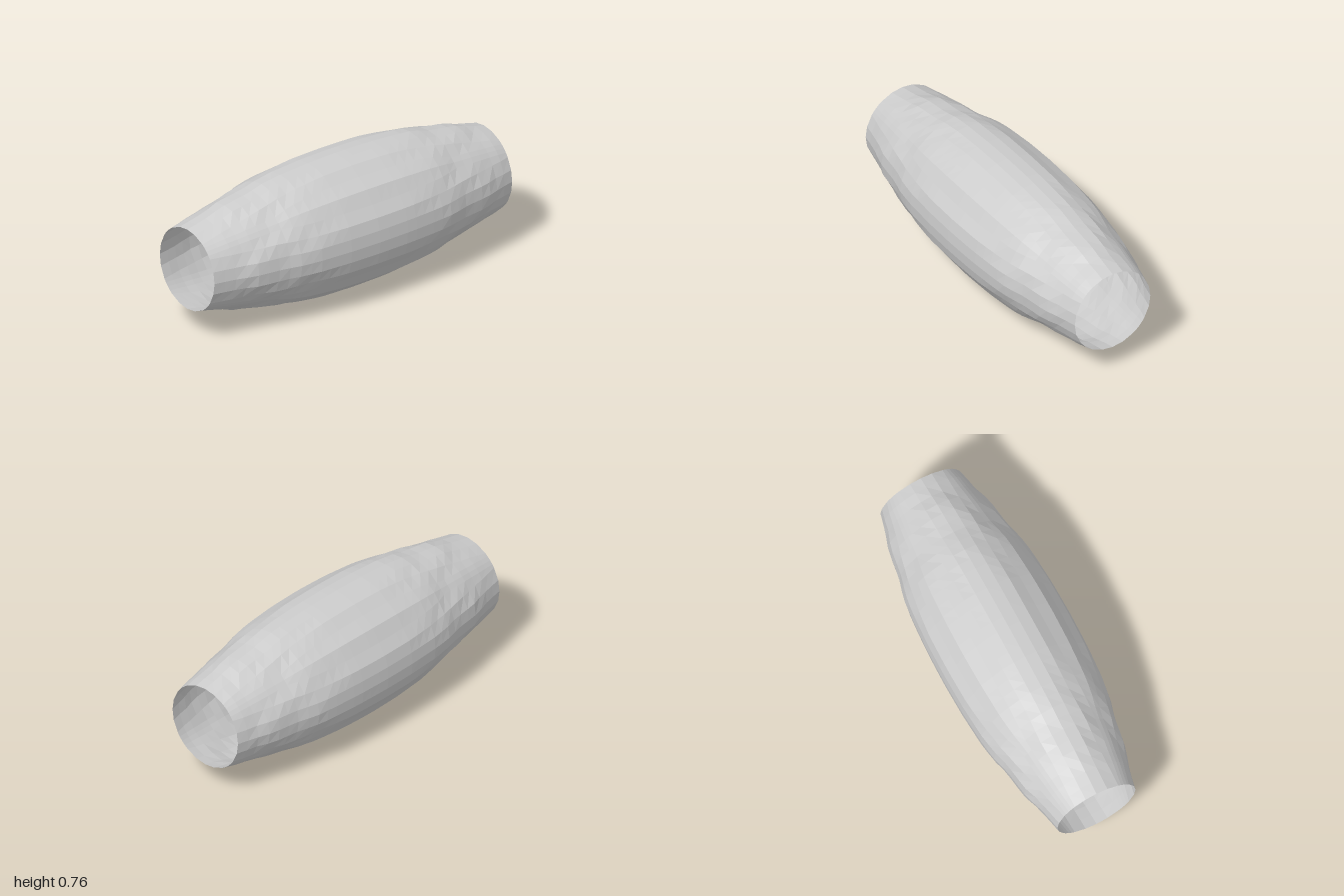
import * as THREE from 'three';

// radius of the plain tube against distance from its widest point
const PROFILE = [[0, 0.369], [0.2, 0.365], [0.4, 0.352], [0.5, 0.338], [0.62, 0.304],
  [0.75, 0.287], [0.85, 0.266], [0.91, 0.257], [0.98, 0.24], [1.02, 0.233]];
const CENTRE_X = 0.02, AXIS_Y = 0.381, STEP = 0.065, STATIONS = 32;

const clamp01 = (v) => Math.min(1, Math.max(0, v));

function tubeRadius(d) {
  let i = 1;
  while (i < PROFILE.length - 1 && PROFILE[i][0] < d) i++;
  const [x0, r0] = PROFILE[i - 1], [x1, r1] = PROFILE[i];
  return r0 + (r1 - r0) * (d - x0) / (x1 - x0);
}

// one ring: four mirrored quarters, each with a raised oval pad on its axis
function ring(x) {
  const d = Math.abs(x - CENTRE_X), base = tubeRadius(d);
  const point = (k) => {
    if (k === 4) return [Math.PI / 4, base + 0.008 * clamp01(1 - (d / 0.6) ** 2)];
    const angle = Math.min(Math.asin(Math.min(1, STEP * k / base)), 0.68);
    const h = base * Math.sin(angle);
    const inner = 1 - (d / 0.62) ** 2 - (h / 0.195) ** 2;
    const outer = 1 - (d / 0.9) ** 2 - (h / 0.24) ** 2;
    const fade = clamp01((d - 0.45) / 0.17);
    return [angle, base + 0.013 * clamp01(2.5 * inner) + 0.016 * clamp01(5 * outer) * fade];
  };
  const points = [];
  for (let q = 0; q < 4; q++) {
    for (let k = -4; k < 4; k++) {
      const [a, r] = point(Math.abs(k));
      const t = q * Math.PI / 2 + Math.sign(k) * a;
      points.push([x, AXIS_Y + r * Math.cos(t), r * Math.sin(t)]);
    }
  }
  return points;
}

export function createModel() {
  const group = new THREE.Group();
  group.name = 'barrelBead';
  const grey = new THREE.MeshStandardMaterial({
    color: 0xcccccc, flatShading: true, side: THREE.DoubleSide,
  });
  grey.name = 'light grey';

  // open-ended shell lofted through the rings
  const positions = [], index = [], sides = 32;
  for (let i = 0; i <= STATIONS; i++) {
    for (const p of ring(-1 + 2 * i / STATIONS)) positions.push(...p);
  }
  for (let i = 0; i < STATIONS; i++) {
    for (let j = 0; j < sides; j++) {
      const a = i * sides + j, b = i * sides + (j + 1) % sides;
      index.push(a, b, a + sides, b, b + sides, a + sides);
    }
  }
  const geometry = new THREE.BufferGeometry();
  geometry.setAttribute('position', new THREE.Float32BufferAttribute(positions, 3));
  geometry.setIndex(index);
  geometry.computeVertexNormals();

  const shell = new THREE.Mesh(geometry, grey);
  shell.name = 'shell';
  group.add(shell);
  return group;
}
